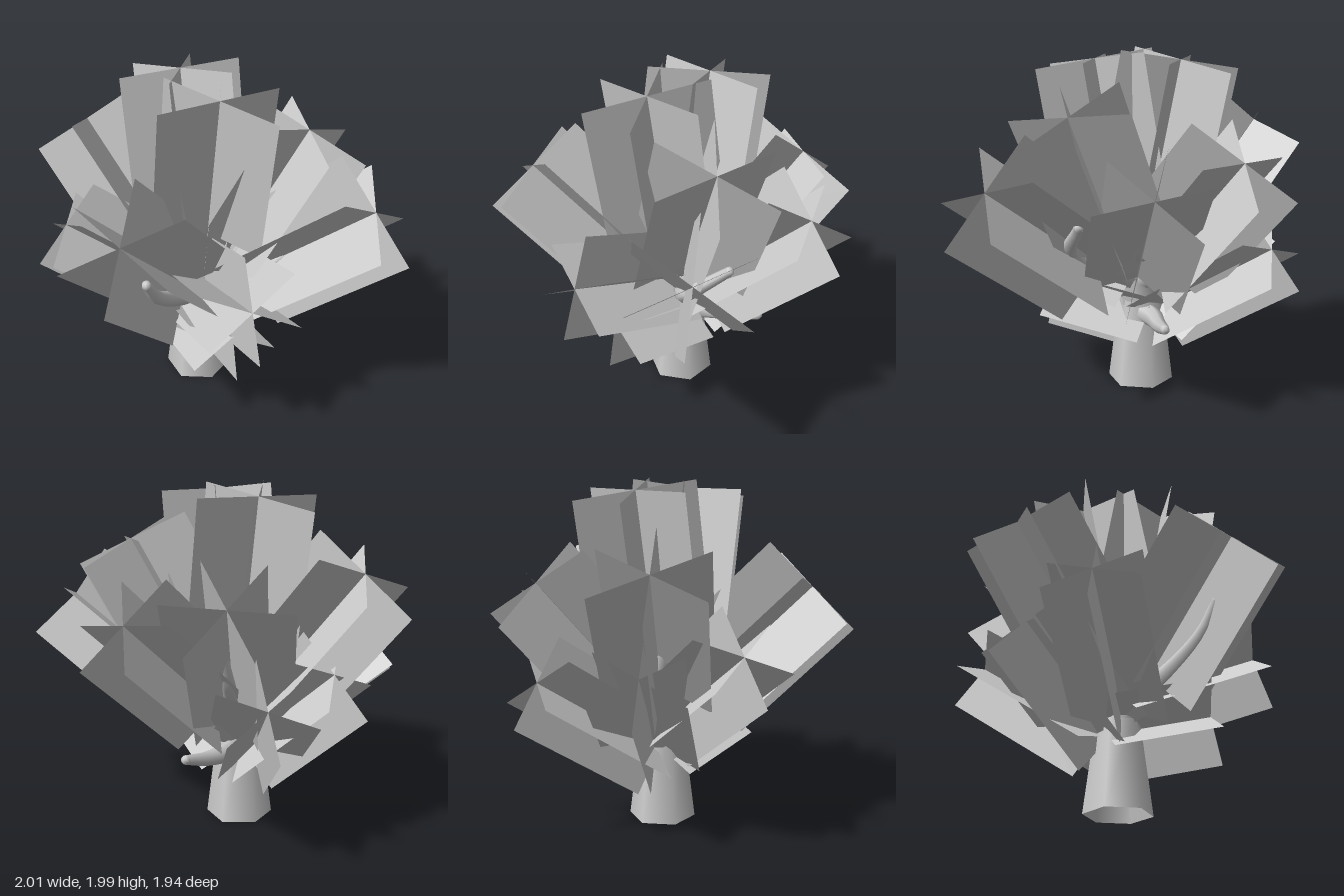
import * as THREE from 'three';

const V = (a) => new THREE.Vector3(...a);
const bark = new THREE.MeshStandardMaterial({ color: 0xcccccc, side: THREE.DoubleSide });
const leaf = new THREE.MeshStandardMaterial({ color: 0xcccccc, side: THREE.DoubleSide });

// Tube along points whose radius shrinks from r0 to r1
function taperedTube(name, points, r0, r1, sides = 7) {
  const curve = new THREE.CatmullRomCurve3(points.map(V));
  const steps = 12;
  const geo = new THREE.TubeGeometry(curve, steps, 1, sides);
  const pos = geo.attributes.position;
  const p = new THREE.Vector3();
  for (let i = 0; i < pos.count; i++) {
    const t = Math.floor(i / (sides + 1)) / steps;
    const c = curve.getPointAt(t);
    p.fromBufferAttribute(pos, i).sub(c).multiplyScalar(r0 + (r1 - r0) * t).add(c);
    pos.setXYZ(i, p.x, p.y, p.z);
  }
  const group = new THREE.Group();
  group.name = name;
  const tip = new THREE.Mesh(new THREE.SphereGeometry(r1, sides, 5), bark);
  tip.position.copy(curve.getPointAt(1));
  group.add(new THREE.Mesh(geo, bark), tip);
  return group;
}

// Three rectangular cards crossing on a shared axis that ends at the tip
function leafCluster({ tip, across, from = [0, 0.55, 0], length = 0.9, half = 0.365 }) {
  const end = V(tip);
  const axis = end.clone().sub(V(from));
  const len = Math.min(length, axis.length());
  axis.normalize();
  const side = V(across);
  side.addScaledVector(axis, -side.dot(axis)).normalize();
  const group = new THREE.Group();
  group.name = 'leafCluster';
  group.position.copy(end);
  group.quaternion.setFromRotationMatrix(
    new THREE.Matrix4().makeBasis(side, axis, side.clone().cross(axis)));
  const geo = new THREE.PlaneGeometry(2 * half, len).translate(0, -len / 2, 0);
  for (let i = 0; i < 3; i++) {
    const card = new THREE.Mesh(geo, leaf);
    card.name = 'leafCard';
    card.rotation.y = (i * Math.PI) / 3;
    group.add(card);
  }
  return group;
}

export function createModel() {
  const model = new THREE.Group();
  model.name = 'tree';

  // Trunk: wide six-sided foot and a thinner leader above it
  const trunk = new THREE.Mesh(new THREE.CylinderGeometry(0.13, 0.195, 0.52, 6, 1, true), bark);
  trunk.name = 'trunk';
  trunk.position.set(-0.01, 0.26, -0.035);
  model.add(trunk);
  model.add(taperedTube('leader',
    [[-0.01, 0.5, -0.035], [0, 0.68, -0.01], [-0.02, 0.9, -0.04], [-0.02, 1.08, -0.04]], 0.125, 0.045));

  // Branches: curved limbs leaving the top of the trunk
  const branches = [
    [[0, 0.62, 0], [-0.25, 0.76, 0.22], [-0.45, 0.91, 0.36], [-0.54, 1.06, 0.42]],
    [[0, 0.62, 0], [0.15, 0.73, 0.1], [0.34, 0.88, 0.31], [0.57, 1.09, 0.22]],
    [[0, 0.7, 0], [0.12, 0.95, 0.05], [0.24, 1.22, 0.13], [0.3, 1.45, 0.19]],
    [[0, 0.45, 0], [0.12, 0.44, -0.12], [0.28, 0.45, -0.18], [0.44, 0.49, -0.23]],
    [[0, 0.6, 0], [-0.1, 0.74, -0.16], [-0.2, 0.95, -0.28], [-0.25, 1.15, -0.33]],
    [[0, 0.6, 0], [0.1, 0.74, -0.16], [0.22, 0.93, -0.32], [0.29, 1.12, -0.39]],
  ];
  for (const points of branches) model.add(taperedTube('branch', points, 0.075, 0.028));

  // Foliage: tip of each cluster and the direction its first card spreads
  const clusters = [
    // Large upper clusters
    { tip: [-0.7, 1.38, 0.48], across: [0.29, 0.16, 0.14] },
    { tip: [0.72, 1.3, 0.68], across: [-0.18, -0.11, 0.3] },
    { tip: [0.52, 1.67, 0.28], across: [-0.1, -0.04, 0.35] },
    { tip: [0.4, 1.43, -0.64], across: [0.25, -0.17, -0.07], half: 0.35 },
    { tip: [0.78, 1.3, -0.21], across: [-0.14, 0.06, -0.33], half: 0.33 },
    { tip: [0, 1.93, -0.26], across: [0.37, 0, 0.03], half: 0.355 },
    { tip: [-0.01, 1.93, 0.23], across: [0.37, 0, 0], half: 0.355 },
    { tip: [-0.42, 1.54, -0.67], across: [-0.31, -0.11, 0.04], half: 0.345 },
    // Smaller lower clusters
    { tip: [-0.73, 1.1, -0.28], across: [-0.12, -0.3, -0.02], half: 0.3 },
    { tip: [-0.08, 0.94, 0.75], across: [0, 0.36, -0.1], from: [0, 0.68, 0], half: 0.31 },
    { tip: [-0.05, 0.58, 0.49], across: [0.26, -0.15, 0], from: [0, 0.46, -0.1], length: 0.6, half: 0.29 },
    { tip: [0.25, 0.92, -0.8], across: [-0.2, -0.06, -0.18], from: [-0.05, 0.43, -0.13], half: 0.28 },
    { tip: [-0.29, 0.98, -0.6], across: [0, 0.36, 0], from: [0, 0.44, -0.08], half: 0.31 },
  ];
  for (const c of clusters) model.add(leafCluster(c));

  return model;
}
